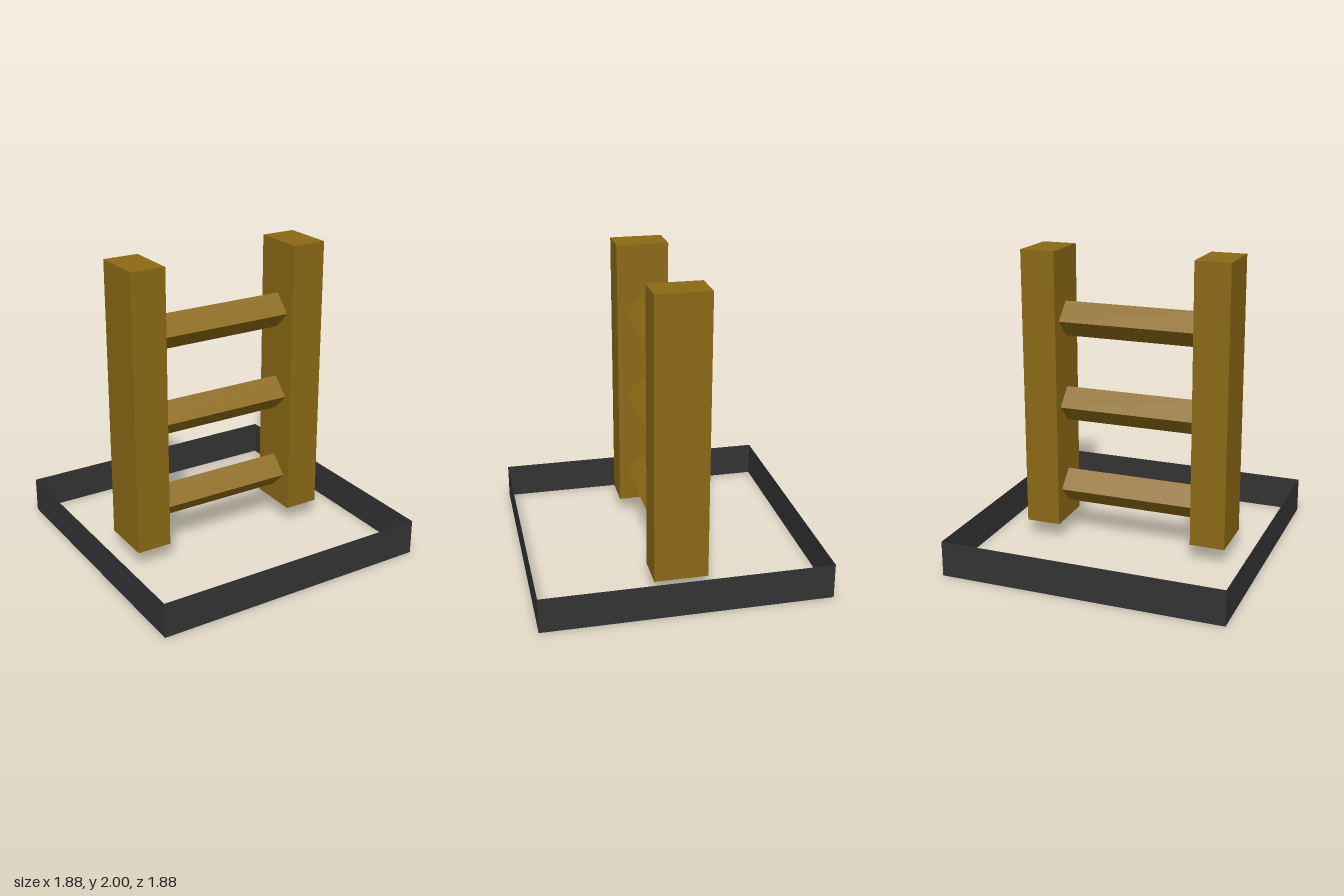
import * as THREE from 'three';

const U = 2 / 17; // the model is 17 modules tall

export function createModel() {
  const group = new THREE.Group();
  const wood = new THREE.MeshStandardMaterial({ color: 0x8b6914, flatShading: true });
  const iron = new THREE.MeshStandardMaterial({ color: 0x333333, flatShading: true, side: THREE.DoubleSide });

  const add = (name, geometry, material, x, y, z) => {
    const mesh = new THREE.Mesh(geometry, material);
    mesh.name = name;
    mesh.position.set(x * U, y * U, z * U);
    group.add(mesh);
    return mesh;
  };

  // thin square band around the foot, open above and below
  const bandRadius = 8 * Math.SQRT2 * U;
  const band = new THREE.CylinderGeometry(bandRadius, bandRadius, 2 * U, 4, 1, true);
  band.rotateY(Math.PI / 4);
  add('baseBand', band, iron, 0, 1, 0);

  // two uprights, starting halfway up the band
  const post = new THREE.BoxGeometry(2 * U, 16 * U, 3 * U);
  add('leftPost', post, wood, 5, 9, 0);
  add('rightPost', post, wood, -5, 9, 0);

  // square rungs set on edge between the posts
  const side = Math.SQRT2 * U;
  const rung = new THREE.BoxGeometry(8 * U, side, side);
  rung.rotateX(Math.PI / 4);
  [3, 8, 13].forEach((y, i) => add(`rung${i + 1}`, rung, wood, 0, y, 0));

  return group;
}
